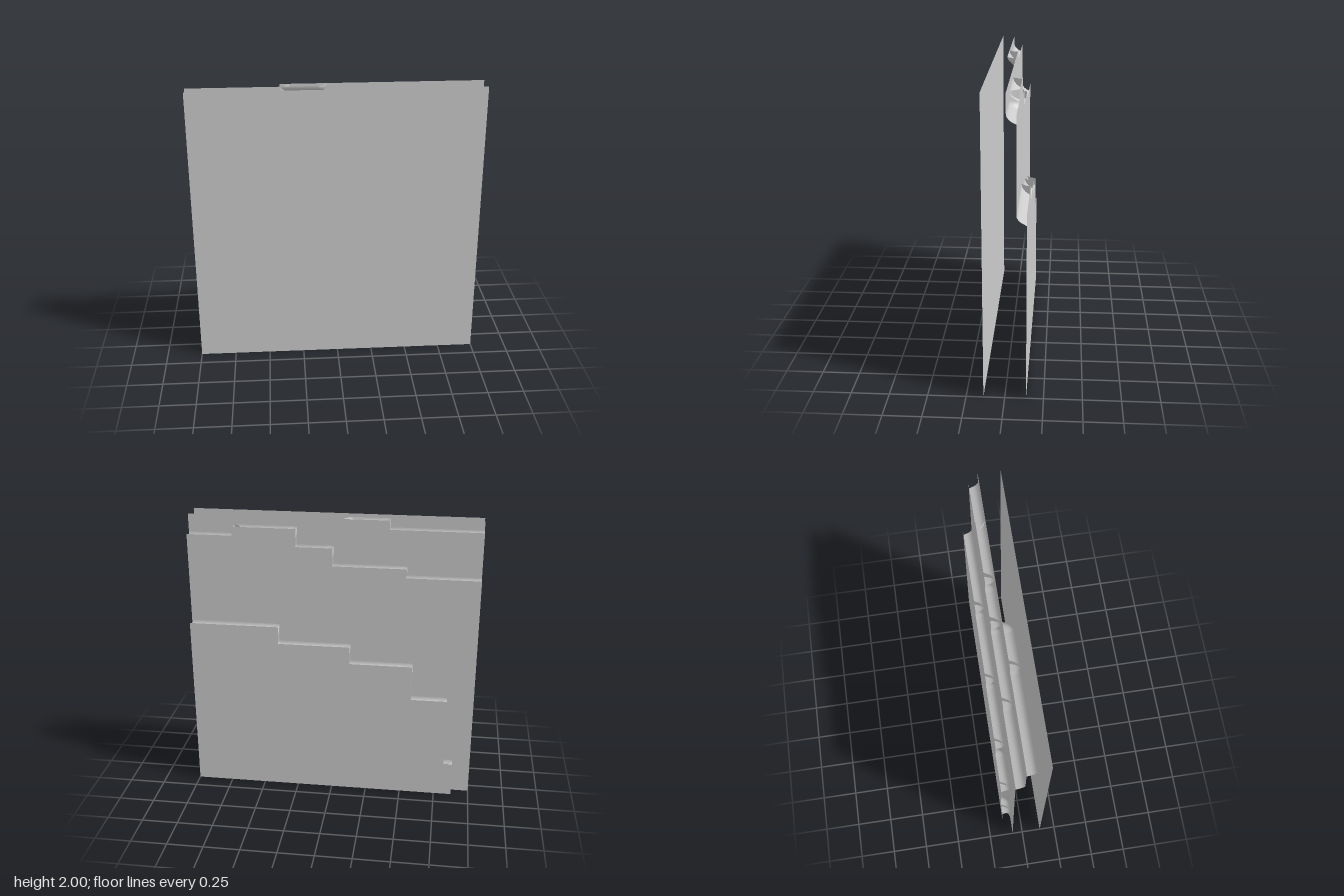
import * as THREE from 'three';

const STEP = 0.0625; // grid cell, also the height of one terrace
const LEVELS = { top: -0.1375, middle: -0.075, lower: -0.0125, ground: 0.05 };

// Slope profile: [distance inward, rise], in cells
const PROFILE = [[0, 0], [0.15, 0.02], [0.3, 0.08], [0.5, 0.22], [0.7, 0.45], [0.85, 0.72], [1, 1]];

// Terrace outlines as columns: [x start, x end, y of the edge]; an edge above 2 lies off the tile
const TOP = [[-1, -0.875, 0], [-0.875, -0.8125, 0.25], [-0.8125, -0.5625, 0.75], [-0.5625, -0.125, 1],
  [-0.125, 0.375, 1.125], [0.375, 1, 1.25]];
const MIDDLE = [[-1, -0.5, 1.625], [-0.5, 0, 1.6875], [0, 0.25, 1.8125], [0.25, 0.6875, 1.9375], [0.6875, 1, 1.875]];
const LOWER = [[-1, -0.375, 1.9375], [-0.375, -0.125, 2], [-0.125, 1, 2.0625]];

export function createModel() {
  const grey = new THREE.MeshStandardMaterial({ color: 0xcccccc, side: THREE.DoubleSide });
  grey.name = 'stone grey';
  const model = new THREE.Group();
  model.name = 'terracedTile';

  const add = (parent, geometry, name) => {
    const mesh = new THREE.Mesh(geometry, grey);
    mesh.name = name;
    parent.add(mesh);
    return mesh;
  };

  // Flat sheet between an upper and a lower stepped outline, facing -z
  const outline = cols => cols.flatMap(([a, b, y]) => [[a, Math.min(y, 2)], [b, Math.min(y, 2)]]);
  const sheet = (upper, under, z, name) => {
    const points = [...outline(upper), ...outline(under).reverse()]
      .filter((p, i, all) => i === 0 || p[0] !== all[i - 1][0] || p[1] !== all[i - 1][1])
      .map(([x, y]) => new THREE.Vector2(-x, y));
    const geometry = new THREE.ShapeGeometry(new THREE.Shape(points));
    geometry.rotateY(Math.PI);
    add(model, geometry, name).position.z = z;
  };

  // Straight slope from point a to b, sinking inward along (nx, ny)
  const slope = (a, b, nx, ny, z) => {
    const n = PROFILE.length - 1;
    const geometry = new THREE.PlaneGeometry(1, 1, 1, n);
    const pos = geometry.attributes.position;
    for (let row = 0; row <= n; row++) {
      const [inward, rise] = PROFILE[row];
      [a, b].forEach((p, side) => pos.setXYZ(row * 2 + side,
        p[0] + nx * inward * STEP, p[1] + ny * inward * STEP, z - rise * STEP));
    }
    geometry.computeVertexNormals();
    return geometry;
  };

  // Quarter-round slope that fills an inner corner
  const corner = (x, y, z, start) => {
    const points = PROFILE.map(([r, h]) => new THREE.Vector2(r * STEP, h * STEP));
    const geometry = new THREE.LatheGeometry(points, 6, start, Math.PI / 2);
    geometry.rotateX(-Math.PI / 2);
    return geometry.translate(x, y, z);
  };

  // All slopes along one stepped outline
  const cliff = (cols, z, name) => {
    const group = new THREE.Group();
    group.name = name;
    model.add(group);
    cols.forEach(([a, b, y], i) => {
      if (y > 0 && y <= 2) add(group, slope([b, y], [a, y], 0, -1, z), 'ledgeSlope');
      if (i === 0) return;
      const before = cols[i - 1][2];
      const low = Math.min(before, y);
      const high = Math.min(Math.max(before, y), 2);
      const rising = y > before;
      if (high > low) {
        const ends = rising ? [[a, high], [a, low]] : [[a, low], [a, high]];
        add(group, slope(...ends, rising ? 1 : -1, 0, z), 'sideSlope');
      }
      if (low > 0) add(group, corner(a, low, z, rising ? Math.PI / 2 : Math.PI), 'innerCorner');
    });
  };

  // Flat front panel
  add(model, new THREE.PlaneGeometry(2, 2), 'frontPanel').position.set(0, 1, 0.1375);

  // Terraces, from the one nearest the panel to the rearmost
  sheet([[-1, -0.375, 2]], [[-1, -0.375, 1.9375]], LEVELS.ground, 'groundSheet');
  sheet(LOWER, MIDDLE, LEVELS.lower, 'lowerTerrace');
  sheet(MIDDLE, TOP, LEVELS.middle, 'middleTerrace');
  sheet(TOP.slice(1), [[-0.875, 1, 0]], LEVELS.top, 'topTerrace');

  // Slopes joining the terraces
  cliff(LOWER, LEVELS.ground, 'lowerCliff');
  cliff(MIDDLE, LEVELS.lower, 'middleCliff');
  cliff(TOP, LEVELS.middle, 'topCliff');

  return model;
}
